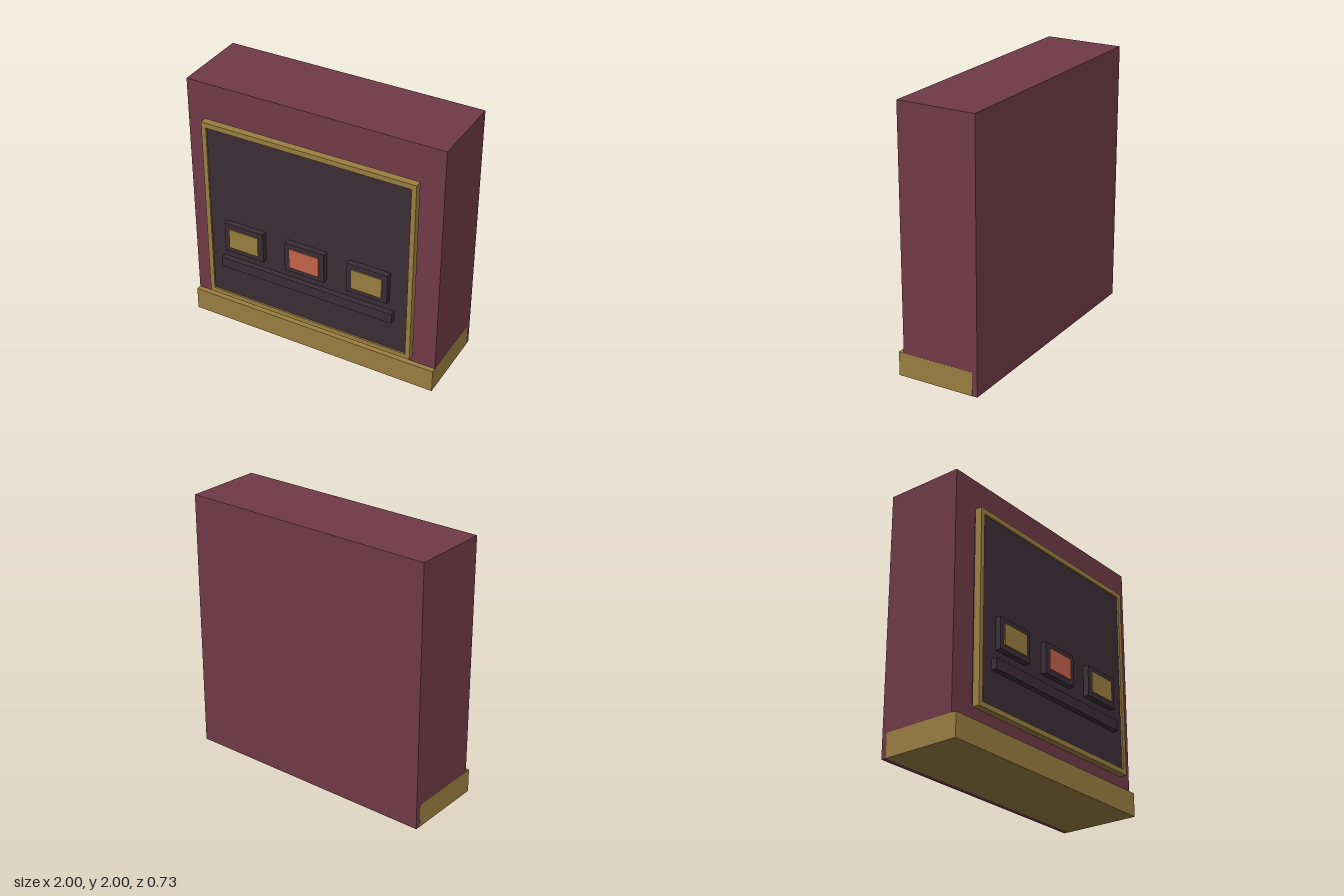
import * as THREE from 'three';

const paint = (name, color) => {
  const m = new THREE.MeshStandardMaterial({ color });
  m.name = name;
  return m;
};

export function createModel() {
  const maroon = paint('maroon', 0x703a47);
  const gold = paint('gold', 0x9b7e41);
  const charcoal = paint('charcoal', 0x3b2d36);
  const coral = paint('coral', 0xc4644a);

  const model = new THREE.Group();
  model.name = 'wallConsole';

  // Box given by its limits on each axis
  const box = (name, mat, [x0, x1], [y0, y1], [z0, z1], parent = model) => {
    const mesh = new THREE.Mesh(new THREE.BoxGeometry(x1 - x0, y1 - y0, z1 - z0), mat);
    mesh.position.set((x0 + x1) / 2, (y0 + y1) / 2, (z0 + z1) / 2);
    mesh.name = name;
    parent.add(mesh);
    return mesh;
  };

  // Cabinet, a hair inside the plinth so their faces do not coincide
  box('cabinet', maroon, [-0.999, 0.999], [0.001, 2], [-0.365, 0.235]);
  box('plinth', gold, [-1, 1], [0, 0.18], [-0.325, 0.275]);

  // Dark panel, set slightly back inside its frame
  box('panel', charcoal, [-0.8, 0.8], [0.3, 1.7], [0.235, 0.312]);

  // Frame with a rectangular opening
  const rect = (Type, x, y0, y1) => new Type([
    new THREE.Vector2(-x, y0), new THREE.Vector2(x, y0),
    new THREE.Vector2(x, y1), new THREE.Vector2(-x, y1),
  ]);
  const outline = rect(THREE.Shape, 0.836, 0.262, 1.74);
  outline.holes.push(rect(THREE.Path, 0.8, 0.3, 1.7));
  const frame = new THREE.Mesh(
    new THREE.ExtrudeGeometry(outline, { depth: 0.055, bevelEnabled: false }), gold);
  frame.position.z = 0.27;
  frame.name = 'panelFrame';
  model.add(frame);

  // Three buttons with coloured faces
  [['left', 0.5, gold], ['centre', 0, coral], ['right', -0.5, gold]].forEach(([side, x, mat]) => {
    const button = new THREE.Group();
    button.name = side + 'Button';
    box('buttonHousing', charcoal, [x - 0.16, x + 0.16], [0.72, 0.96], [0.305, 0.356], button);
    box('buttonFace', mat, [x - 0.12, x + 0.12], [0.76, 0.92], [0.356, 0.365], button);
    model.add(button);
  });

  // Ledge under the buttons
  box('ledge', charcoal, [-0.7, 0.7], [0.56, 0.64], [0.305, 0.355]);

  return model;
}
